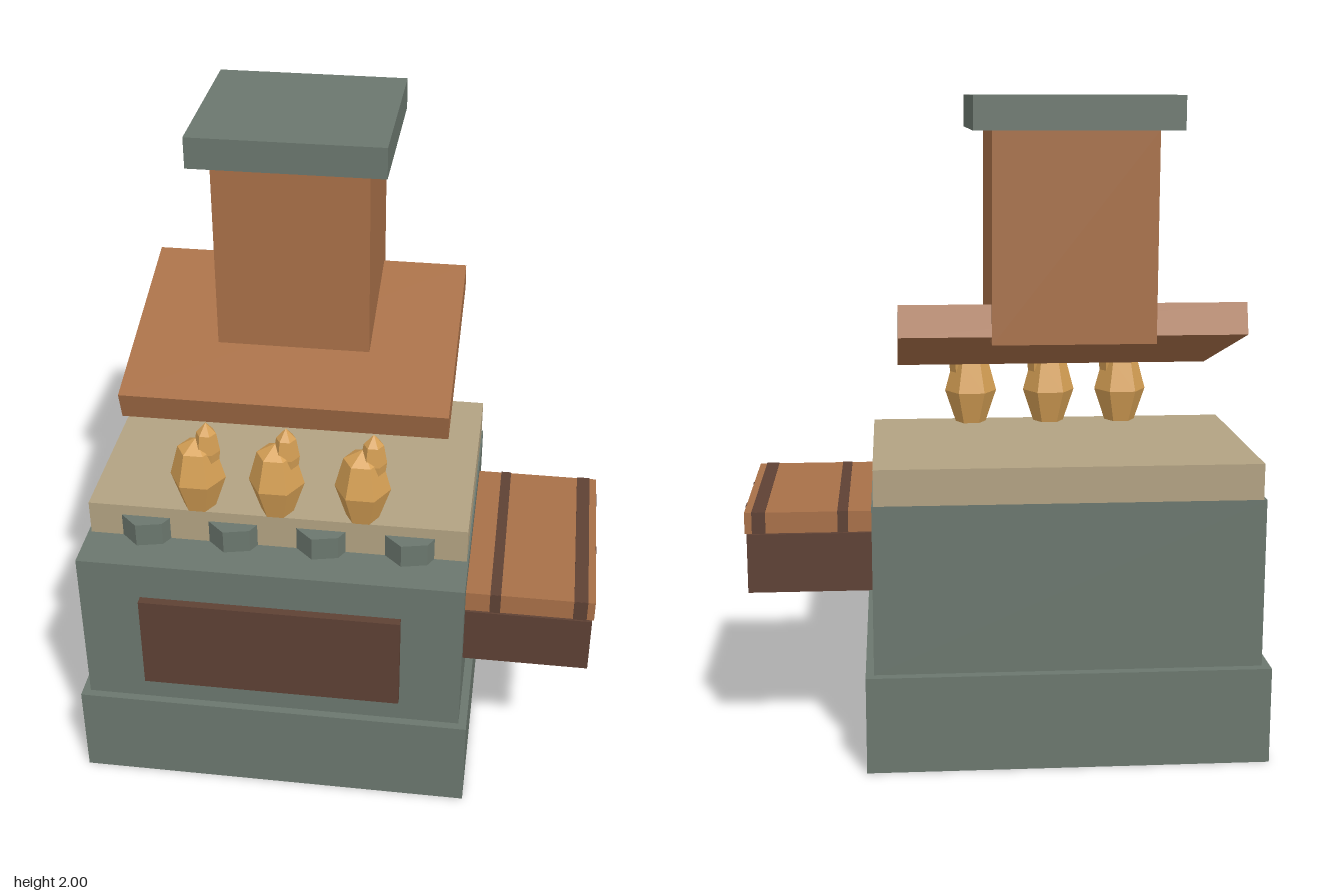
import * as THREE from 'three';

const mat = (name, color, flatShading = false) => {
  const m = new THREE.MeshStandardMaterial({ color, flatShading });
  m.name = name;
  return m;
};

export function createModel() {
  const stone = mat('greyStone', 0x6b776e);
  const copper = mat('copperBrown', 0xa87048);
  const dark = mat('darkBrown', 0x5e4134);
  const sand = mat('sandStone', 0xb2a282);
  const flame = mat('flameGold', 0xd6a055, true);

  const model = new THREE.Group();
  model.name = 'stove';

  const add = (name, geometry, material, parent = model) => {
    const mesh = new THREE.Mesh(geometry, material);
    mesh.name = name;
    parent.add(mesh);
    return mesh;
  };
  // Box given by its limits on each axis
  const box = (name, material, [x0, x1], [y0, y1], [z0, z1], parent = model) => {
    const mesh = add(name, new THREE.BoxGeometry(x1 - x0, y1 - y0, z1 - z0), material, parent);
    mesh.position.set((x0 + x1) / 2, (y0 + y1) / 2, (z0 + z1) / 2);
    return mesh;
  };

  // Stove body
  box('base', stone, [-0.795, 0.43], [0, 0.3], [-0.415, 0.52]);
  box('body', stone, [-0.77, 0.405], [0.3, 0.82], [-0.385, 0.495]);
  box('cooktop', sand, [-0.76, 0.4], [0.82, 0.93], [-0.385, 0.345]);
  box('ovenDoor', dark, [-0.58, 0.218], [0.385, 0.7], [0.49, 0.522]);

  // Chimney and tilted hood
  box('chimney', copper, [-0.415, 0.055], [1.305, 1.905], [-0.46, -0.032]);
  box('chimneyCap', stone, [-0.475, 0.11], [1.905, 2], [-0.52, 0.027]);
  const hood = add('hood', new THREE.BoxGeometry(1, 0.094, 0.657), copper);
  hood.position.set(-0.18, 1.281, -0.127);
  hood.rotation.x = 0.285;

  // Side shelf: dark box under a striped board
  box('shelfBox', dark, [0.4, 0.785], [0.512, 0.695], [-0.218, 0.428]);
  box('shelfBoard', copper, [0.4, 0.79], [0.7, 0.765], [-0.223, 0.426]);
  for (const [x0, x1] of [[0.478, 0.51], [0.727, 0.768]]) {
    box('boardStripe', dark, [x0, x1], [0.764, 0.767], [-0.225, 0.428]);
    for (const z of [-0.224, 0.427]) {
      box('boardEdgeStripe', dark, [x0, x1], [0.7, 0.766], [z - 0.0015, z + 0.0015]);
    }
  }
  box('boardEndStripe', dark, [0.788, 0.792], [0.7, 0.765], [-0.14, -0.095]);
  box('boardEndKnot', dark, [0.788, 0.792], [0.733, 0.765], [0.145, 0.165]);

  // Faceted knobs along the front of the cooktop
  const outline = [[-0.079, -0.34], [-0.02, -0.396], [0.058, -0.378], [0.079, -0.34]];
  const knobShape = new THREE.Shape(outline.map(([x, y]) => new THREE.Vector2(x, y)));
  const knobGeometry = new THREE.ExtrudeGeometry(knobShape, { depth: 0.075, bevelEnabled: false });
  knobGeometry.rotateX(-Math.PI / 2);
  for (let i = 0; i < 4; i++) {
    add('knob', knobGeometry, stone).position.set(-0.585 + i * 0.27, 0.82, 0);
  }

  // Six-sided flames, each with a smaller second tip
  const faceted = (profile) => new THREE.LatheGeometry(
    profile.map(([r, y]) => new THREE.Vector2(r, y)), 6, Math.PI / 6);
  const mainFlame = faceted([[0, 0], [0.05, 0], [0.085, 0.105], [0.058, 0.205], [0, 0.24]]);
  const smallFlame = faceted([[0, 0], [0.022, 0], [0.04, 0.13], [0.03, 0.19], [0, 0.225]]);
  for (const x of [-0.422, -0.182, 0.078]) {
    const group = new THREE.Group();
    group.name = 'burnerFlame';
    group.position.set(x, 0.93, 0.303);
    add('mainFlame', mainFlame, flame, group);
    const tip = add('flameTip', smallFlame, flame, group);
    tip.position.set(0.032, 0.07, 0);
    model.add(group);
  }
  return model;
}
